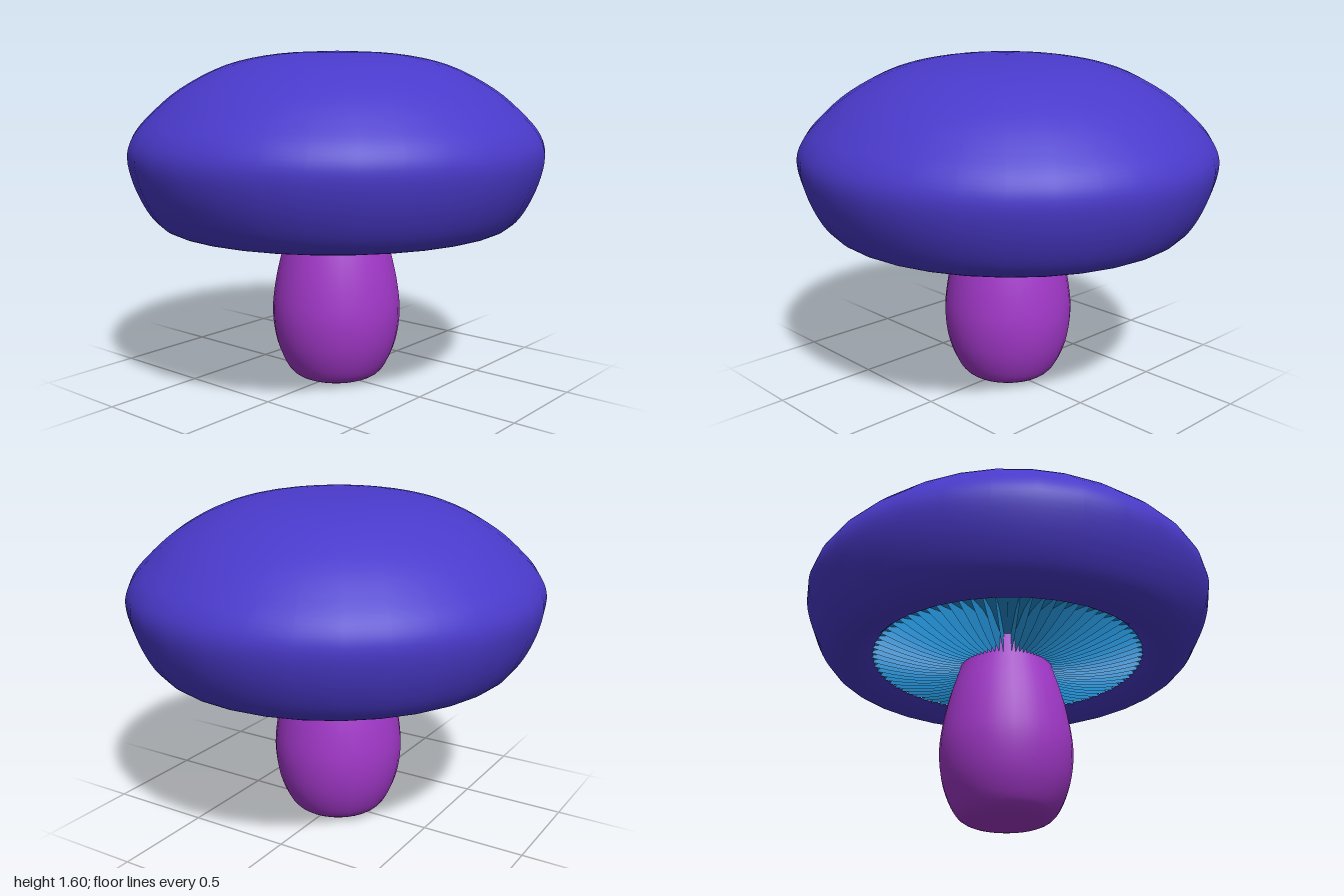
import * as THREE from 'three';
import { mergeGeometries } from 'three/addons/utils/BufferGeometryUtils.js';

const material = (name, color, side = THREE.FrontSide) => {
  const m = new THREE.MeshStandardMaterial({ color, side });
  m.name = name;
  return m;
};

// Smooth turned surface through a few [radius, height] points, listed bottom to top
function turned(points, samples, segments) {
  const curve = new THREE.SplineCurve(points.map(([r, y]) => new THREE.Vector2(r, y)));
  const profile = curve.getPoints(samples);
  profile.forEach((p) => { p.x = Math.max(p.x, 0); });
  return new THREE.LatheGeometry(profile, segments);
}

export function createModel() {
  const model = new THREE.Group();
  model.name = 'mushroom';
  const capBlue = material('capBlue', 0x4a3acb);
  const stemPurple = material('stemPurple', 0xa238c9);
  const gillBlue = material('gillBlue', 0x2698e0, THREE.DoubleSide);

  const add = (name, geometry, mat, parent = model) => {
    const mesh = new THREE.Mesh(geometry, mat);
    mesh.name = name;
    parent.add(mesh);
    return mesh;
  };

  // Slightly oval head: cap, gill ceiling and gills share one scale
  const head = new THREE.Group();
  head.name = 'head';
  head.scale.x = 0.975;
  model.add(head);

  // Cap, from the rolled-under lip to the crown
  add('cap', turned([
    [0.66, 0.835], [0.71, 0.795], [0.79, 0.778], [0.86, 0.805], [0.92, 0.88],
    [0.975, 1.0], [1.0, 1.12], [0.975, 1.21], [0.9, 1.3], [0.75, 1.425],
    [0.53, 1.535], [0.28, 1.587], [0, 1.6],
  ], 48, 32), capBlue, head);

  // Ceiling behind the gills
  add('gillCeiling', new THREE.LatheGeometry([
    new THREE.Vector2(0.15, 0.88),
    new THREE.Vector2(0.45, 0.88),
    new THREE.Vector2(0.665, 0.84),
  ], 32), gillBlue, head);

  // Thin radial gills, lowest midway between stem and lip
  const blade = new THREE.Shape();
  blade.moveTo(0.18, 0.89);
  blade.lineTo(0.18, 0.78);
  blade.quadraticCurveTo(0.36, 0.735, 0.665, 0.828);
  blade.lineTo(0.665, 0.84);
  blade.lineTo(0.45, 0.89);
  const gillCount = 76;
  const gills = [];
  for (let i = 0; i < gillCount; i++) {
    gills.push(new THREE.ShapeGeometry(blade, 8).rotateY((i / gillCount) * Math.PI * 2));
  }
  add('gills', mergeGeometries(gills), gillBlue, head);

  // Bulbous stem with a rounded foot
  const stem = add('stem', turned([
    [0, 0.004], [0.12, 0.008], [0.2, 0.028], [0.25, 0.085], [0.295, 0.2],
    [0.313, 0.34], [0.3, 0.48], [0.27, 0.62], [0.225, 0.77], [0.19, 0.89],
  ], 32, 32), stemPurple);
  stem.position.x = -0.007;

  return model;
}
